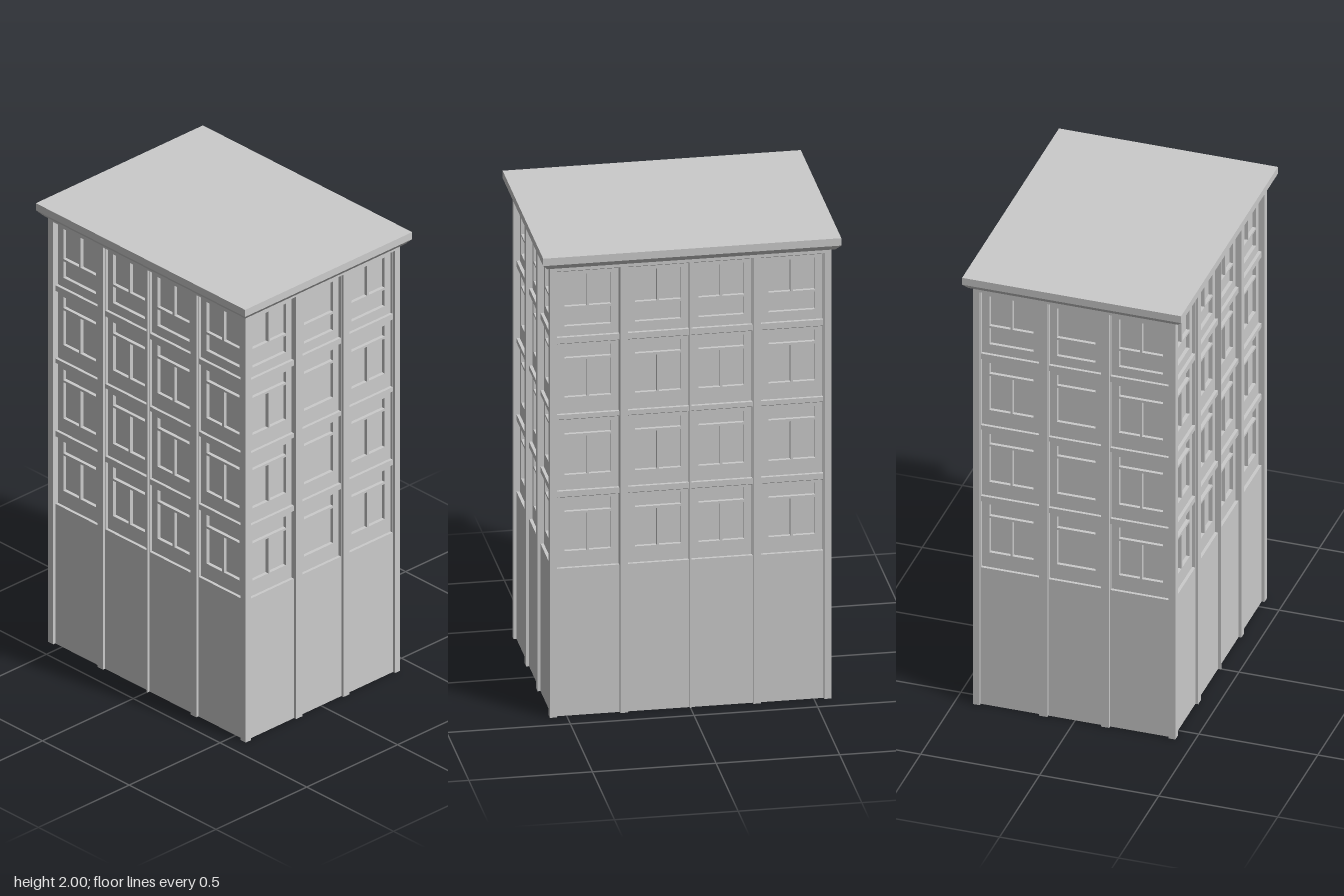
import * as THREE from 'three';
import { mergeGeometries } from 'three/addons/utils/BufferGeometryUtils.js';

const material = new THREE.MeshStandardMaterial({ color: 0xcccccc, side: THREE.DoubleSide, flatShading: true });

const HALF_W = 0.425, HALF_D = 0.57, WALL_TOP = 1.945, BAY_TOP = 1.926;
const BAY_DEPTH = 0.012, CELL_DEPTH = 0.025, PANE_DEPTH = 0.04, BAR = 0.01;

// Each storey: cell bottom and top, window bottom and top, transom height
const storeys = [
  { y0: 0.637, y1: 0.945, w0: 0.705, w1: 0.928, transom: 0.87 },
  { y0: 0.97, y1: 1.28, w0: 1.034, w1: 1.257, transom: 1.204 },
  { y0: 1.3, y1: 1.608, w0: 1.369, w1: 1.588, transom: 1.533 },
  { y0: 1.634, y1: 1.92, w0: 1.676, w1: 1.898, transom: 1.756, flipped: true },
];

const rect = (x0, x1, y0, y1) => ({ x0, x1, y0, y1 });
const corners = (r) => [[r.x0, r.y0], [r.x1, r.y0], [r.x1, r.y1], [r.x0, r.y1]];

// Flat panel with rectangular openings, set back from the wall face
function panel(r, depth, holes = []) {
  const points = (q) => corners(q).map(([x, y]) => new THREE.Vector2(x, y));
  const shape = new THREE.Shape(points(r));
  shape.holes = holes.map((h) => new THREE.Path(points(h).reverse()));
  const g = new THREE.ShapeGeometry(shape).toNonIndexed();
  g.deleteAttribute('uv');
  return g.translate(0, 0, -depth);
}

// Quads joining two four-cornered rings
function band(a, b, sides = [0, 1, 2, 3]) {
  const pos = [];
  for (const i of sides) {
    const j = (i + 1) % 4;
    for (const p of [a[i], a[j], b[j], a[i], b[j], b[i]]) pos.push(...p);
  }
  const g = new THREE.BufferGeometry();
  g.setAttribute('position', new THREE.Float32BufferAttribute(pos, 3));
  g.computeVertexNormals();
  return g;
}

// Sides of a recess between two depths
function reveal(outer, d0, inner, d1, sides) {
  const ring = (r, d) => corners(r).map(([x, y]) => [x, y, -d]);
  return band(ring(outer, d0), ring(inner, d1), sides);
}

// Panes of one window, divided by a transom and an optional mullion
function paneRects(x0, x1, s, mullion) {
  const below = [s.w0, s.transom - BAR / 2], above = [s.transom + BAR / 2, s.w1];
  const [whole, split] = s.flipped ? [below, above] : [above, below];
  const mid = (x0 + x1) / 2;
  const panes = [rect(x0, x1, ...whole)];
  if (mullion) panes.push(rect(x0, mid - BAR / 2, ...split), rect(mid + BAR / 2, x1, ...split));
  else panes.push(rect(x0, x1, ...split));
  return panes;
}

// One facade in its own plane, facing +z
function createWall(name, halfWidth, bays) {
  const parts = { pilasters: [], bayPanels: [], windowFrames: [], windowPanes: [] };

  // Pilasters fill the gaps between the bays, with a strip along the top
  const edges = [-halfWidth, ...bays.flatMap((b) => [b.x0, b.x1]), halfWidth];
  for (let i = 0; i < edges.length; i += 2) {
    parts.pilasters.push(panel(rect(edges[i], edges[i + 1], 0, BAY_TOP), 0));
  }
  parts.pilasters.push(panel(rect(-halfWidth, halfWidth, BAY_TOP, WALL_TOP), 0));

  for (const { x0, x1, mullion } of bays) {
    const bay = rect(x0, x1, 0, BAY_TOP);
    const cells = storeys.map((s) => rect(x0 + 0.002, x1 - 0.002, s.y0, s.y1));
    parts.bayPanels.push(panel(bay, BAY_DEPTH, cells), reveal(bay, 0, bay, BAY_DEPTH, [1, 2, 3]));

    storeys.forEach((s, i) => {
      // The head of each cell slopes slightly
      const cell = cells[i], back = { ...cell, y1: cell.y1 - 0.007 };
      const panes = paneRects(x0 + 0.033, x1 - 0.033, s, mullion);
      parts.windowFrames.push(reveal(cell, BAY_DEPTH, back, CELL_DEPTH), panel(back, CELL_DEPTH, panes));
      for (const p of panes) {
        parts.windowFrames.push(reveal(p, CELL_DEPTH, p, PANE_DEPTH));
        parts.windowPanes.push(panel(p, PANE_DEPTH));
      }
    });
  }

  const wall = new THREE.Group();
  wall.name = name;
  for (const [part, list] of Object.entries(parts)) {
    const mesh = new THREE.Mesh(mergeGeometries(list), material);
    mesh.name = part;
    wall.add(mesh);
  }
  return wall;
}

// Flat roof slab with a chamfered cornice below
function createRoof() {
  const ring = (w, d, y) => [[-w, y, d], [w, y, d], [w, y, -d], [-w, y, -d]];
  const rings = [ring(0, 0, WALL_TOP), ring(0.44, 0.583, WALL_TOP), ring(0.46, 0.603, 1.968),
    ring(0.46, 0.603, 2), ring(0, 0, 2)];
  const roof = new THREE.Mesh(mergeGeometries(rings.slice(1).map((r, i) => band(rings[i], r))), material);
  roof.name = 'roof';
  return roof;
}

export function createModel() {
  const model = new THREE.Group();
  model.name = 'building';

  const endBays = [
    { x0: -0.397, x1: -0.147, mullion: true },
    { x0: -0.113, x1: 0.113, mullion: false },
    { x0: 0.147, x1: 0.397, mullion: true },
  ];
  const sideBays = [[-0.54, -0.285], [-0.253, -0.003], [0.003, 0.253], [0.285, 0.54]]
    .map(([x0, x1]) => ({ x0, x1, mullion: true }));

  // Four facades turned about the centre
  ['frontWall', 'leftWall', 'backWall', 'rightWall'].forEach((name, i) => {
    const side = i % 2 === 1;
    const wall = createWall(name, side ? HALF_D : HALF_W, side ? sideBays : endBays);
    const angle = (i * Math.PI) / 2, distance = side ? HALF_W : HALF_D;
    wall.rotation.y = angle;
    wall.position.set(Math.sin(angle) * distance, 0, Math.cos(angle) * distance);
    model.add(wall);
  });

  model.add(createRoof());
  return model;
}
